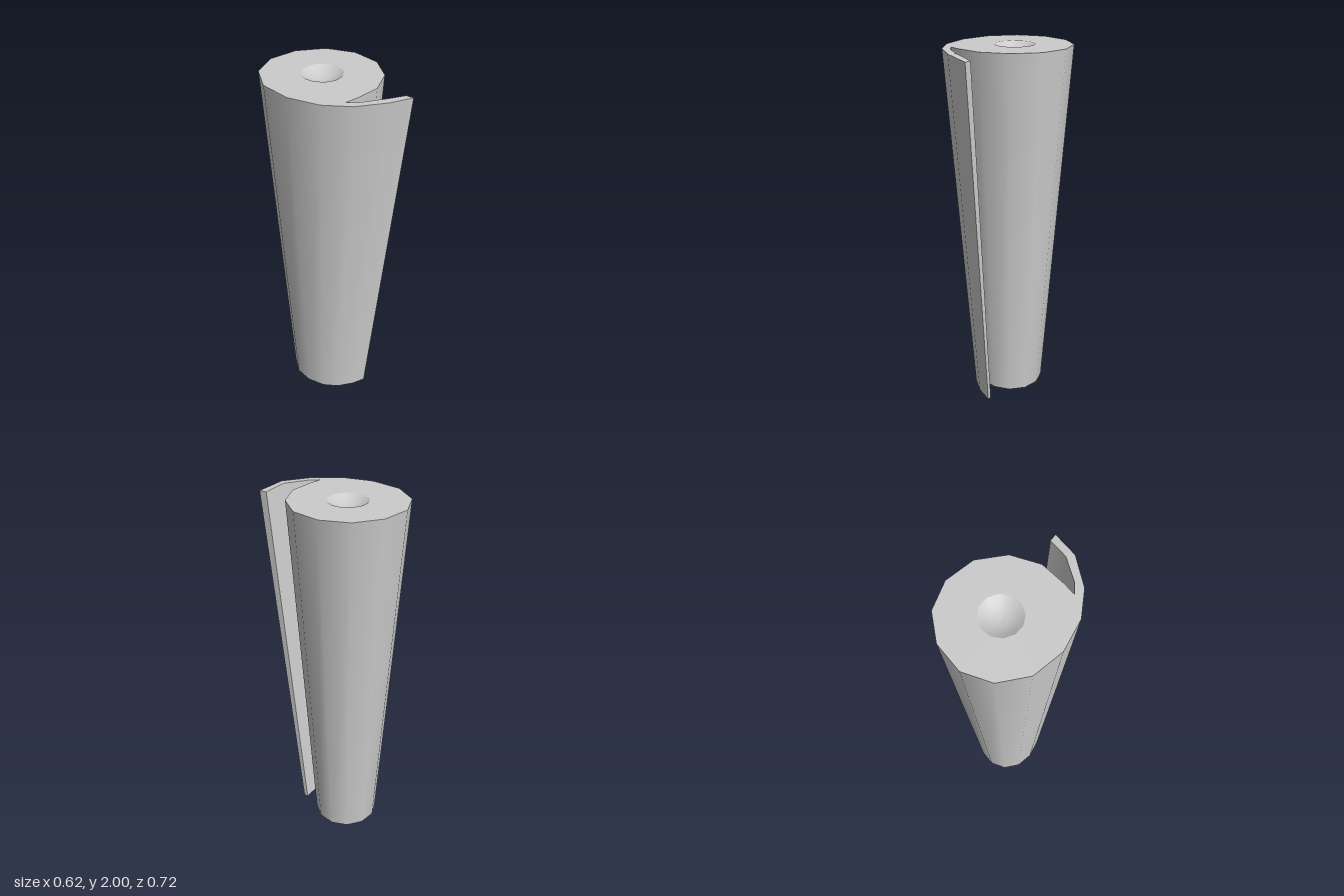
import * as THREE from 'three';
import { toCreasedNormals } from 'three/addons/utils/BufferGeometryUtils.js';

// Rolled cross-section at the top, as x, z: from the flap's tip around the roll into the slit and back out
const section = [
  [0.307, 0.318], [0.168, 0.357], [0, 0.334], [-0.133, 0.265], [-0.248, 0.138],
  [-0.308, -0.025], [-0.283, -0.187], [-0.182, -0.307], [-0.03, -0.358], [0.127, -0.33],
  [0.246, -0.227], [0.3, -0.077], [0.271, 0.08], [0.175, 0.201], [0.05, 0.259],
  [-0.015, 0.281], [0.04, 0.303], [0.175, 0.315], [0.285, 0.284],
];
const TOP = 2, BOTTOM = 0.02, TAPER = 0.59;
const DISH = { r: 0.107, z: -0.055, depth: 0.04, sides: 12, rings: 4 };

// The free edge of the flap droops slightly
const droop = (x, z) => (x > 0.28 && z > 0.25 ? 0.018 : 0);
const topPoint = (x, z) => [x, TOP - droop(x, z), z];
const bottomPoint = (x, z) => [x * TAPER + 0.003, BOTTOM - droop(x, z) * 1.1, z * TAPER - 0.011];

function wallGeometry() {
  const pos = [];
  section.forEach((a, i) => {
    const b = section[(i + 1) % section.length];
    const [at, bt, ab, bb] = [topPoint(...a), topPoint(...b), bottomPoint(...a), bottomPoint(...b)];
    pos.push(...at, ...bt, ...bb, ...at, ...bb, ...ab);
  });
  const g = new THREE.BufferGeometry();
  g.setAttribute('position', new THREE.Float32BufferAttribute(pos, 3));
  return toCreasedNormals(g, THREE.MathUtils.degToRad(50));
}

const sectionShape = () => new THREE.Shape(section.map(([x, z]) => new THREE.Vector2(x, -z)));

// Fills a flat section and moves each corner to its place on the roll
function endGeometry(shape, place, faceDown) {
  const g = new THREE.ShapeGeometry(shape);
  const p = g.attributes.position;
  for (let i = 0; i < p.count; i++) p.setXYZ(i, ...place(p.getX(i), -p.getY(i)));
  if (faceDown) g.index.array.reverse();
  g.computeVertexNormals();
  return g;
}

function topShape() {
  const shape = sectionShape();
  const ring = [];
  for (let i = 0; i < DISH.sides; i++) {
    const a = ((i + 0.5) / DISH.sides) * Math.PI * 2;
    ring.push(new THREE.Vector2(DISH.r * Math.sin(a), -(DISH.z + DISH.r * Math.cos(a))));
  }
  shape.holes.push(new THREE.Path(ring));
  return shape;
}

// Shallow bowl sunk into the top
function dishGeometry() {
  const profile = [];
  for (let i = DISH.rings; i >= 0; i--) {
    const t = i / DISH.rings;
    profile.push(new THREE.Vector2(DISH.r * t, TOP - DISH.depth * (1 - t * t)));
  }
  return new THREE.LatheGeometry(profile, DISH.sides, Math.PI / DISH.sides).translate(0, 0, DISH.z);
}

export function createModel() {
  const group = new THREE.Group();
  group.name = 'taperedRoll';
  const material = new THREE.MeshStandardMaterial({ color: 0xcccccc });
  const add = (name, geometry) => {
    const mesh = new THREE.Mesh(geometry, material);
    mesh.name = name;
    group.add(mesh);
  };
  add('rolledWall', wallGeometry());
  add('topFace', endGeometry(topShape(), topPoint, false));
  add('bottomFace', endGeometry(sectionShape(), bottomPoint, true));
  add('centreDish', dishGeometry());
  return group;
}
